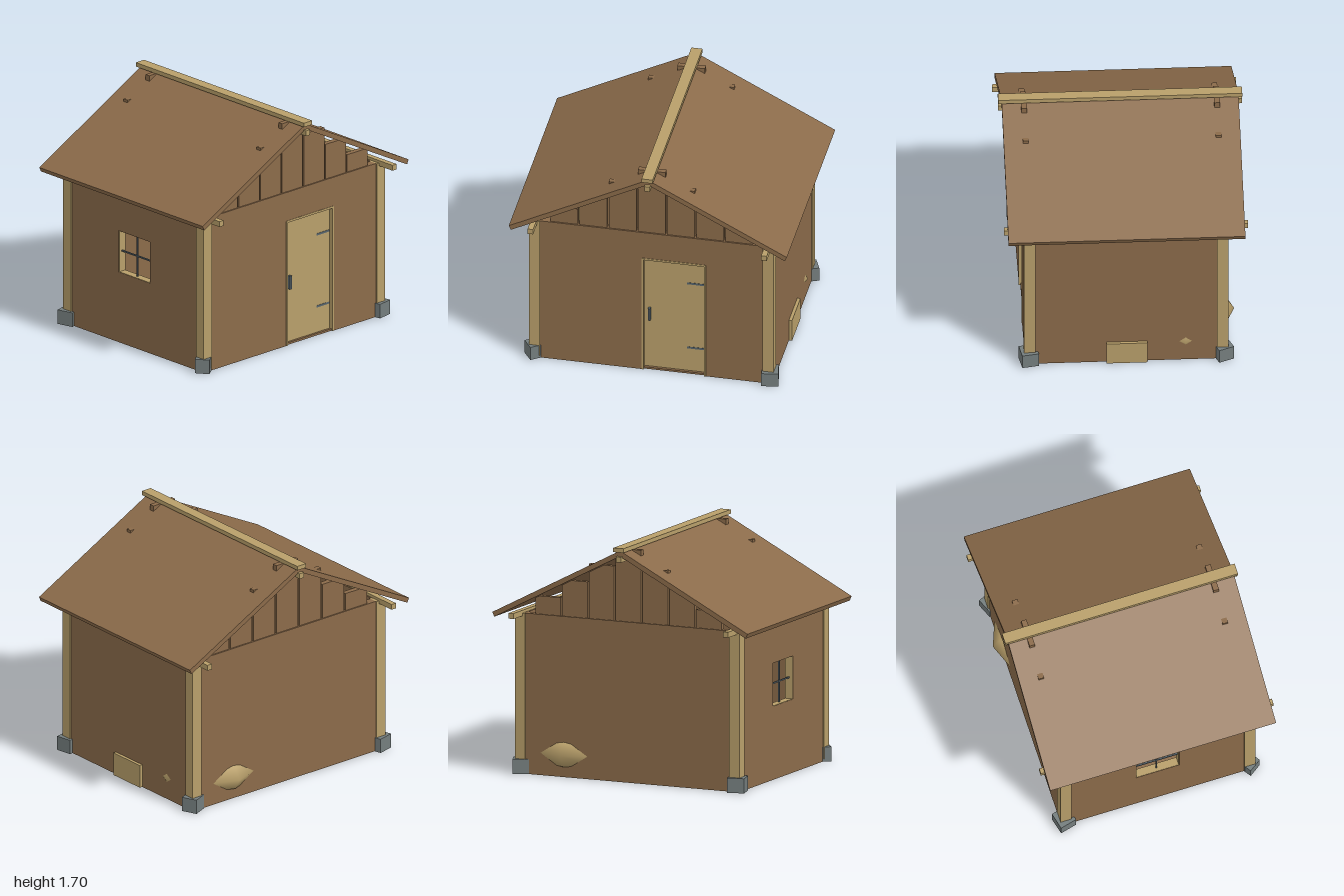
import * as THREE from 'three';

const mat = (name, color, extra = {}) => {
  const m = new THREE.MeshStandardMaterial({ color, ...extra });
  m.name = name;
  return m;
};

export function createModel() {
  const group = new THREE.Group();
  const brown = mat('brown boards', 0x8b6b4a);
  const tan = mat('pale timber', 0xb89f6a);
  const stone = mat('grey stone', 0x747d7d);
  const iron = mat('dark iron', 0x57646c);

  const add = (name, geometry, material, x = 0, y = 0, z = 0) => {
    const mesh = new THREE.Mesh(geometry, material);
    mesh.name = name;
    mesh.position.set(x, y, z);
    group.add(mesh);
    return mesh;
  };
  // Box given by its lower and upper bounds
  const box = (name, m, x0, x1, y0, y1, z0, z1) =>
    add(name, new THREE.BoxGeometry(x1 - x0, y1 - y0, z1 - z0), m,
      (x0 + x1) / 2, (y0 + y1) / 2, (z0 + z1) / 2);

  const WALL_TOP = 1.15, T = 0.06;

  // Floor, back wall and plain side wall
  box('floor', brown, -0.7, 0.7, 0, 0.015, -0.86, 0.86);
  box('backWall', brown, -0.66, 0.66, 0, WALL_TOP, -0.87, -0.81);
  box('sideWall', brown, -0.71, -0.65, 0, WALL_TOP, -0.83, 0.83);

  // Front wall with a window opening
  const front = new THREE.Shape([[-0.66, 0], [0.66, 0], [0.66, WALL_TOP], [-0.66, WALL_TOP]]
    .map(p => new THREE.Vector2(...p)));
  front.holes.push(new THREE.Path([[-0.16, 0.525], [-0.16, 0.835], [0.16, 0.835], [0.16, 0.525]]
    .map(p => new THREE.Vector2(...p))));
  add('frontWall', new THREE.ExtrudeGeometry(front, { depth: T, bevelEnabled: false }), brown, 0, 0, 0.81);

  // Window lining and crossed bars
  box('windowSill', tan, -0.16, 0.16, 0.524, 0.528, 0.81, 0.868);
  for (const s of [-1, 1]) box('windowJamb', tan, s * 0.158 - 0.002, s * 0.158 + 0.002, 0.525, 0.835, 0.81, 0.868);
  box('windowBarVertical', iron, -0.005, 0.005, 0.525, 0.835, 0.835, 0.845);
  box('windowBarHorizontal', iron, -0.16, 0.16, 0.675, 0.685, 0.835, 0.845);

  // Door wall: two panels and a lintel around the doorway
  box('doorWallFront', brown, 0.65, 0.71, 0, WALL_TOP, 0.07, 0.83);
  box('doorWallBack', brown, 0.65, 0.71, 0, WALL_TOP, -0.83, -0.39);
  box('doorLintelWall', brown, 0.65, 0.71, 0.935, WALL_TOP, -0.39, 0.07);

  // Door frame, recessed door, handle and hinges
  box('doorJambFront', tan, 0.645, 0.713, 0, 0.935, 0.057, 0.071);
  box('doorJambBack', tan, 0.645, 0.713, 0, 0.935, -0.391, -0.377);
  box('doorHead', tan, 0.645, 0.713, 0.921, 0.936, -0.377, 0.057);
  box('door', tan, 0.655, 0.682, 0.003, 0.921, -0.377, 0.057);
  box('doorHandle', iron, 0.68, 0.705, 0.41, 0.51, 0.01, 0.027);
  for (const y of [0.2, 0.74])
    box('doorHinge', iron, 0.681, 0.684, y, y + 0.015, -0.375, -0.25);

  // Corner posts on turned stone footings
  const footings = [[-1, 1, 0.124, 0.245], [1, 1, 0.104, 0.61], [1, -1, 0.12, 0.17], [-1, -1, 0.115, 0.4]];
  for (const [sx, sz, w, turn] of footings) {
    add('cornerPost', new THREE.BoxGeometry(0.08, WALL_TOP - 0.02, 0.08), tan, sx * 0.68, (WALL_TOP + 0.02) / 2, sz * 0.84);
    add('stoneFooting', new THREE.BoxGeometry(w, 0.105, w), stone, sx * 0.685, 0.0525, sz * 0.848).rotation.y = turn;
  }

  // Gable boards in stepped heights
  const tops = [1.67, 1.54, 1.41, 1.28];
  for (const x of [-0.68, 0.68])
    for (let i = -3; i <= 3; i++)
      box('gableBoard', brown, x - 0.02, x + 0.02, WALL_TOP, tops[Math.abs(i)], i * 0.21 - 0.099, i * 0.21 + 0.099);

  // Roof timbers
  for (const s of [-1, 1]) box('wallPlate', tan, -0.86, 0.86, 1.13, 1.17, s * 0.84 - 0.02, s * 0.84 + 0.02);
  box('ridgeBeam', tan, -0.86, 0.86, 1.6, 1.64, -0.02, 0.02);
  box('ridgeCap', tan, -0.86, 0.86, 1.672, 1.702, -0.04, 0.04);

  // Two roof slopes extruded along the ridge
  for (const s of [-1, 1]) {
    const pts = [[0, 1.68], [0, 1.64], [0.985, 1.13], [1, 1.163]].map(([z, y]) => new THREE.Vector2(-s * z, y));
    const slope = new THREE.ExtrudeGeometry(new THREE.Shape(pts), { depth: 1.67, bevelEnabled: false });
    slope.rotateY(Math.PI / 2);
    add('roofSlope', slope, brown, -0.835, 0, 0);
  }

  // Low chest and a straw heap against the walls
  box('chest', tan, -0.15, 0.14, 0, 0.17, -0.893, -0.4);
  const heap = new THREE.SphereGeometry(1, 8, 6);
  heap.scale(0.36, 0.16, 0.39);
  add('strawHeap', heap, tan, -0.42, 0.16, -0.5);

  return group;
}
